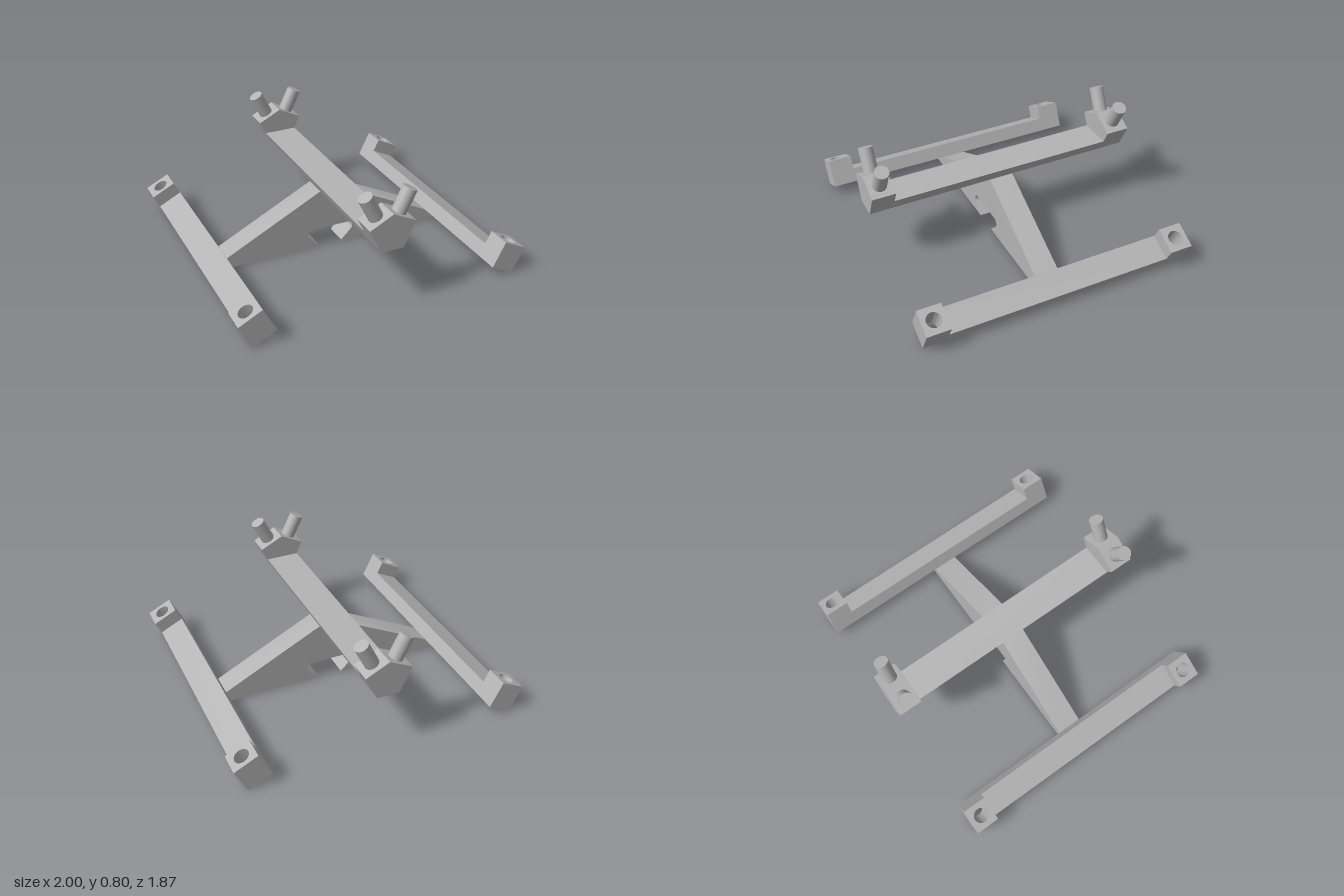
import * as THREE from 'three';
import { toCreasedNormals } from 'three/addons/utils/BufferGeometryUtils.js';

const TILT = Math.atan(0.5);          // slope shared by arm, rails and pegs
const HALF = 0.933, INNER = 0.773;    // rail half length, inner face of the end blocks
const PIN_Z = (HALF + INNER) / 2;

const grey = new THREE.MeshStandardMaterial({ color: 0xb4b4b4 });
grey.name = 'grey';

function add(parent, name, geometry, x = 0, y = 0, z = 0) {
  const mesh = new THREE.Mesh(geometry, grey);
  mesh.name = name;
  mesh.position.set(x, y, z);
  parent.add(mesh);
  return mesh;
}

const polygon = (points) => new THREE.Shape(points.map(([x, y]) => new THREE.Vector2(x, y)));

function extrude(shape, depth) {
  const geometry = new THREE.ExtrudeGeometry(shape, { depth, bevelEnabled: false, curveSegments: 24 });
  return toCreasedNormals(geometry.translate(0, 0, -depth / 2), 0.5);
}

// Tilted side rail with a drilled block at each end; local origin is its outer bottom edge
function createSideRail(name) {
  const rail = new THREE.Group();
  rail.name = name;
  const width = 0.175, height = 0.188, depth = HALF - INNER;
  add(rail, 'railBar', new THREE.BoxGeometry(width, 0.095, INNER * 2), -width / 2, 0.0475, 0);

  const w = width / 2, d = depth / 2;
  const outline = polygon([[-w, -d], [w, -d], [w, d], [-w, d]]);
  outline.holes.push(new THREE.Path().absarc(0, 0, 0.05, 0, Math.PI * 2, true));
  const block = extrude(outline, height).rotateX(-Math.PI / 2);
  for (const s of [-1, 1]) add(rail, 'socketBlock', block, -w, height / 2, s * PIN_Z);

  rail.position.set(0.914, 0, 0);
  rail.rotation.z = -TILT;
  return rail;
}

export function createModel() {
  const model = new THREE.Group();
  model.name = 'railFrame';

  // Cross arm with a rounded notch in its underside
  const arm = polygon([[0.084, 0], [0.914, 0], [0.075, 0.42], [-0.075, 0.42], [-0.914, 0], [-0.084, 0]]);
  arm.absarc(-0.135, 0.099, 0.035, Math.PI * 1.25, Math.PI / 2, true);
  arm.absarc(0.135, 0.099, 0.035, Math.PI / 2, -Math.PI / 4, true);
  arm.closePath();
  add(model, 'crossArm', extrude(arm, 0.166));

  // Side rails, the right one turned half round
  for (const [name, turn] of [['leftRail', 0], ['rightRail', Math.PI]]) {
    const side = new THREE.Group();
    side.name = name + 'Side';
    side.rotation.y = turn;
    side.add(createSideRail(name));
    model.add(side);
  }

  // Top bar, flared upward
  const bar = polygon([[-0.075, 0.42], [0.075, 0.42], [0.115, 0.5], [-0.115, 0.5]]);
  add(model, 'topBar', extrude(bar, INNER * 2));

  // Five-sided end blocks, each with two splayed pegs
  const head = extrude(
    polygon([[-0.075, 0.42], [0.075, 0.42], [0.157, 0.588], [0, 0.666], [-0.157, 0.588]]),
    HALF - INNER
  );
  const sunk = 0.01, pegLength = 0.166 + sunk;
  const peg = new THREE.CylinderGeometry(0.048, 0.048, pegLength, 32);
  peg.translate(0, pegLength / 2 - sunk, 0);
  for (const z of [-PIN_Z, PIN_Z]) {
    add(model, 'pegBlock', head, 0, 0, z);
    for (const s of [-1, 1]) add(model, 'peg', peg, s * 0.078, 0.626, z).rotation.z = -s * TILT;
  }

  return model;
}
